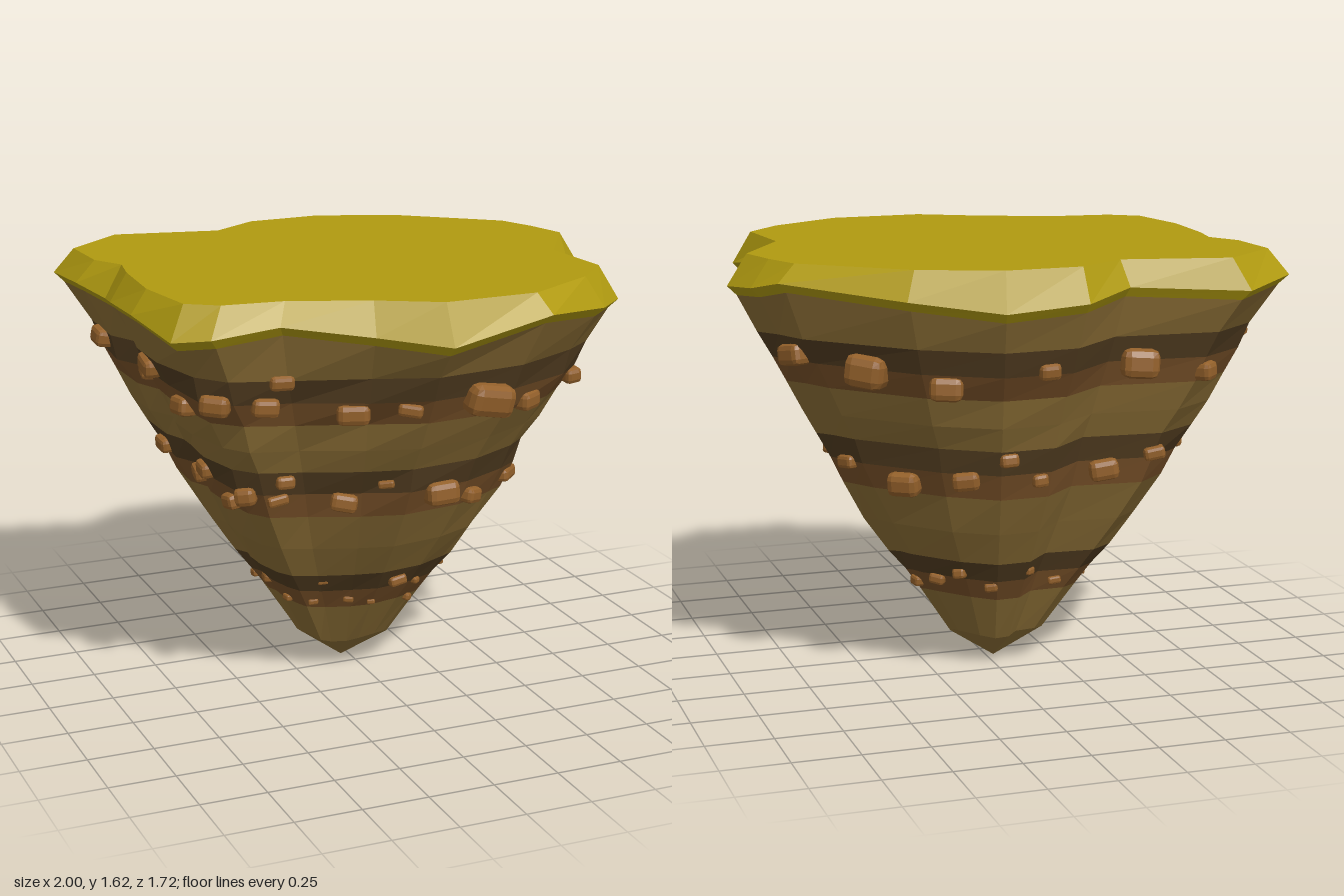
import * as THREE from 'three';
import { RoundedBoxGeometry } from 'three/addons/geometries/RoundedBoxGeometry.js';

// Island outline at its widest: x, z, lip height
const OUTLINE = [
  [-1, -0.61, 1.53], [-0.76, -0.81, 1.51], [-0.33, -0.72, 1.53], [-0.13, -0.85, 1.5],
  [0.18, -0.86, 1.48], [0.5, -0.74, 1.52], [0.885, -0.44, 1.56], [0.95, -0.29, 1.525],
  [1, -0.12, 1.51], [0.81, 0.19, 1.55], [0.845, 0.51, 1.5], [0.7, 0.67, 1.515],
  [0.4, 0.845, 1.555], [0.015, 0.855, 1.475], [-0.225, 0.725, 1.505], [-0.535, 0.605, 1.545],
  [-0.78, 0.58, 1.515], [-0.9, 0.5, 1.5], [-0.95, 0.21, 1.54], [-0.935, -0.09, 1.52],
  [-0.91, -0.235, 1.5], [-0.985, -0.36, 1.54],
];
const N = OUTLINE.length;
const CX = -0.03, CZ = -0.08; // axis through the lower tip

// Wall rings from top to tip: height, scale of the outline
const PROFILE = [
  [1.34, 0.885], [1.245, 0.845], [1.15, 0.785], [1.04, 0.73], [0.945, 0.675], [0.85, 0.635],
  [0.75, 0.59], [0.6, 0.5], [0.465, 0.41], [0.385, 0.35], [0.3, 0.29], [0.12, 0.175], [0, 0],
];

const GOLD = 0xb09a10, TAN = 0x8a6d35, DARK = 0x513c20, RUST = 0x775028, STONE = 0x93602a;

const material = (color) => new THREE.MeshStandardMaterial({ color, flatShading: true });

function seeded(seed) {
  return () => {
    seed = (seed * 16807) % 2147483647;
    return seed / 2147483647;
  };
}

// Scaled outline; height may be a function of the point
function ring(scale, height) {
  return OUTLINE.map(([x, z, lip], i) => new THREE.Vector3(
    CX + (x - CX) * scale, height(lip, i), CZ + (z - CZ) * scale));
}

// Flat faces between successive rings
function loft(rings) {
  const pos = [];
  for (let r = 0; r + 1 < rings.length; r++) {
    const a = rings[r], b = rings[r + 1];
    for (let i = 0; i < N; i++) {
      const j = (i + 1) % N;
      for (const p of [a[i], a[j], b[j], a[i], b[j], b[i]]) pos.push(p.x, p.y, p.z);
    }
  }
  const geo = new THREE.BufferGeometry();
  geo.setAttribute('position', new THREE.Float32BufferAttribute(pos, 3));
  geo.computeVertexNormals();
  return geo;
}

function scaleAt(y) {
  for (let k = 0; k + 1 < PROFILE.length; k++) {
    const [y0, s0] = PROFILE[k], [y1, s1] = PROFILE[k + 1];
    if (y >= y1) return s1 + (s0 - s1) * (y - y1) / (y0 - y1);
  }
  return 0;
}

// Wall point and outward heading seen from one side, at coordinate u across that side
function wallPoint(side, u, y) {
  const pts = ring(scaleAt(y), () => y);
  const across = side === 'front' || side === 'back' ? 'x' : 'z';
  const depth = across === 'x' ? 'z' : 'x';
  const sign = side === 'front' || side === 'right' ? 1 : -1;
  let best = null;
  for (let i = 0; i < N; i++) {
    const a = pts[i], b = pts[(i + 1) % N];
    if ((a[across] - u) * (b[across] - u) > 0) continue;
    const p = a.clone().lerp(b, (u - a[across]) / (b[across] - a[across] || 1));
    if (!best || p[depth] * sign > best.p[depth] * sign) {
      best = { p, heading: Math.atan2(-(b.z - a.z), b.x - a.x) + Math.PI };
    }
  }
  return best;
}

// Stones on each side: coordinate across, height, width, tallness
const STONES = {
  front: [
    [-0.72, 1.245, 0.11, 0.08], [-0.55, 1.23, 0.1, 0.07], [-0.5, 1.325, 0.09, 0.055],
    [-0.24, 1.19, 0.12, 0.08], [-0.06, 1.21, 0.09, 0.05], [0.22, 1.235, 0.18, 0.12],
    [0.42, 1.185, 0.1, 0.07], [-0.56, 0.845, 0.08, 0.07], [-0.45, 0.825, 0.08, 0.04],
    [-0.43, 0.9, 0.07, 0.05], [-0.21, 0.805, 0.1, 0.07], [-0.08, 0.885, 0.06, 0.03],
    [0.13, 0.835, 0.13, 0.09], [0.27, 0.795, 0.08, 0.06], [-0.21, 0.42, 0.04, 0.02],
    [-0.23, 0.325, 0.04, 0.025], [-0.1, 0.33, 0.04, 0.025], [-0.02, 0.32, 0.03, 0.02],
    [0.06, 0.42, 0.07, 0.04], [0.15, 0.395, 0.03, 0.025], [0.15, 0.3, 0.03, 0.03],
  ],
  right: [
    [0.39, 1.21, 0.16, 0.06], [0.2, 1.2, 0.09, 0.06], [0.02, 1.31, 0.11, 0.06],
    [-0.3, 1.28, 0.12, 0.08], [-0.51, 1.245, 0.15, 0.12], [0.285, 0.8, 0.12, 0.05],
    [0.15, 0.91, 0.06, 0.045], [0.02, 0.885, 0.07, 0.04], [-0.235, 0.855, 0.08, 0.05],
    [-0.39, 0.795, 0.12, 0.09], [0.13, 0.42, 0.04, 0.02], [0.04, 0.315, 0.04, 0.02],
    [-0.04, 0.42, 0.03, 0.02], [-0.13, 0.345, 0.05, 0.04], [-0.235, 0.375, 0.06, 0.04],
  ],
  back: [
    [0.33, 1.19, 0.12, 0.09], [-0.02, 1.25, 0.08, 0.06], [-0.4, 1.24, 0.14, 0.11],
    [-0.65, 1.2, 0.08, 0.07], [0.22, 0.82, 0.1, 0.07], [0.08, 0.9, 0.07, 0.05],
    [-0.05, 0.81, 0.06, 0.05], [-0.32, 0.82, 0.11, 0.08], [-0.5, 0.88, 0.08, 0.05],
    [0.18, 0.41, 0.05, 0.04], [0.06, 0.35, 0.05, 0.035], [-0.08, 0.41, 0.04, 0.03],
    [-0.2, 0.35, 0.05, 0.03],
  ],
  left: [
    [-0.42, 1.31, 0.1, 0.07], [-0.2, 1.22, 0.09, 0.06], [0.02, 1.3, 0.12, 0.07],
    [0.22, 1.19, 0.1, 0.07], [-0.34, 0.88, 0.09, 0.06], [-0.12, 0.82, 0.09, 0.06],
    [0.06, 0.89, 0.09, 0.06], [0.2, 0.8, 0.08, 0.06], [-0.2, 0.35, 0.04, 0.03],
    [-0.06, 0.38, 0.05, 0.035], [0.06, 0.33, 0.04, 0.025],
  ],
};

export function createModel() {
  const model = new THREE.Group();
  model.name = 'floatingIsland';
  const add = (name, geo, color, parent = model) => {
    const mesh = new THREE.Mesh(geo, material(color));
    mesh.name = name;
    parent.add(mesh);
    return mesh;
  };

  // Flat top
  const topRing = ring(0.927, () => 1.625);
  const cap = new THREE.ShapeGeometry(new THREE.Shape(topRing.map((p) => new THREE.Vector2(p.x, -p.z))));
  cap.rotateX(-Math.PI / 2).translate(0, 1.625, 0);
  add('grassTop', cap, GOLD);

  // Bevelled rim with a narrow underside
  const underRing = ring(0.965, (lip) => lip - 0.035);
  add('grassRim', loft([topRing, ring(1, (lip) => lip), underRing]), GOLD);

  // Rock wall in coloured layers, with slightly wavy boundaries
  const rand = seeded(41);
  const rings = [underRing, ...PROFILE.map(([y, s]) => {
    const wave = s === 0 ? 0 : 0.012;
    const r = ring(s, (_, i) => y + wave * Math.sin(i * 1.14 + 0.6));
    r.forEach((p) => {
      const k = 1 + (rand() - 0.5) * 0.03;
      p.x = CX + (p.x - CX) * k;
      p.z = CZ + (p.z - CZ) * k;
    });
    return r;
  })];
  const layers = [
    ['upperRock', 0, 1, TAN], ['upperDarkBand', 1, 2, DARK], ['upperRustBand', 2, 3, RUST],
    ['middleRock', 3, 5, TAN], ['middleDarkBand', 5, 6, DARK], ['middleRustBand', 6, 7, RUST],
    ['lowerRock', 7, 9, TAN], ['lowerDarkBand', 9, 10, DARK], ['lowerRustBand', 10, 11, RUST],
    ['rockTip', 11, 13, TAN],
  ];
  for (const [name, from, to, color] of layers) add(name, loft(rings.slice(from, to + 1)), color);

  // Chamfered stones set into the bands
  const stones = new THREE.Group();
  stones.name = 'stones';
  model.add(stones);
  for (const [side, list] of Object.entries(STONES)) {
    for (const [u, y, w, h] of list) {
      const hit = wallPoint(side, u, y);
      if (!hit) continue;
      const stone = add('stone', new RoundedBoxGeometry(w, h, h * 1.1, 1, h * 0.28), STONE, stones);
      stone.position.copy(hit.p);
      stone.rotation.set((rand() - 0.5) * 0.3, hit.heading, (rand() - 0.5) * 0.4, 'YXZ');
    }
  }
  return model;
}
